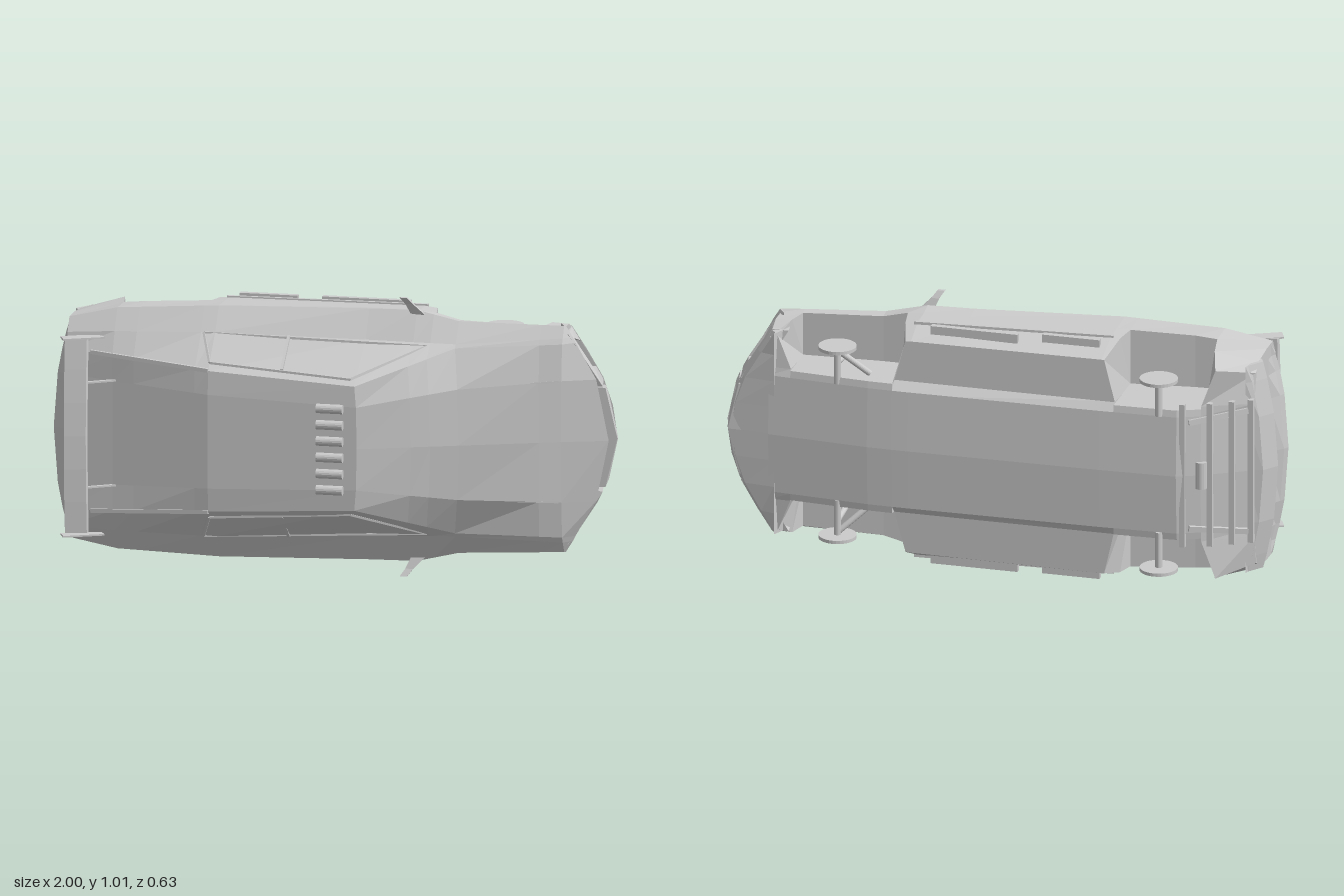
import * as THREE from 'three';

const mat = new THREE.MeshStandardMaterial({ color: 0xcccccc, side: THREE.DoubleSide, flatShading: true });
const V = (p) => new THREE.Vector3(...p);
const V2 = (p) => new THREE.Vector2(...p);

// Linear interpolation through rows whose first entry is the key
function sample(rows, t) {
  let i = 0;
  while (i < rows.length - 2 && t > rows[i + 1][0]) i++;
  const a = rows[i], b = rows[i + 1];
  const f = THREE.MathUtils.clamp((t - a[0]) / (b[0] - a[0]), 0, 1);
  return a.slice(1).map((v, k) => v + (b[k + 1] - v) * f);
}

// Flat-faced skin over closed rings of points, with capped ends
function loft(rings) {
  const pos = [];
  const tri = (a, b, c) => pos.push(...a, ...b, ...c);
  const n = rings[0].length;
  for (let i = 0; i < rings.length - 1; i++) {
    for (let j = 0; j < n; j++) {
      const k = (j + 1) % n;
      const a = rings[i][j], b = rings[i + 1][j], c = rings[i + 1][k], d = rings[i][k];
      tri(a, b, c);
      tri(a, c, d);
    }
  }
  for (const [r, flip] of [[rings[0], false], [rings[rings.length - 1], true]]) {
    const c = [0, 1, 2].map((k) => r.reduce((s, p) => s + p[k], 0) / n);
    r.forEach((p, j) => {
      const q = r[(j + 1) % n];
      flip ? tri(c, q, p) : tri(c, p, q);
    });
  }
  const g = new THREE.BufferGeometry();
  g.setAttribute('position', new THREE.Float32BufferAttribute(pos, 3));
  g.computeVertexNormals();
  return g;
}

// The car lies with its length on x, its width on y and its roof toward +z
export function createModel() {
  const model = new THREE.Group();
  const car = new THREE.Group();
  car.name = 'car';
  car.position.y = 0.51;
  model.add(car);
  const add = (name, geo) => {
    const m = new THREE.Mesh(geo, mat);
    m.name = name;
    car.add(m);
    return m;
  };
  const box = (name, size, at) => add(name, new THREE.BoxGeometry(...size)).position.set(...at);
  const beam = (name, a, b, w, h = w) => {
    const m = add(name, new THREE.BoxGeometry(w, h, V(a).distanceTo(V(b))));
    m.position.copy(V(a).add(V(b)).multiplyScalar(0.5));
    m.quaternion.setFromRotationMatrix(new THREE.Matrix4().lookAt(V(b), V(a), V([0, 0, 1])));
  };
  const rod = (name, a, b, r) => {
    const m = add(name, new THREE.CylinderGeometry(r, r, V(a).distanceTo(V(b)), 16));
    m.position.copy(V(a).add(V(b)).multiplyScalar(0.5));
    m.quaternion.setFromUnitVectors(V([0, 1, 0]), V(b).sub(V(a)).normalize());
  };

  // Upper body: x, centre height, then width and height of crease, roof edge, belt, shoulder
  const upper = [
    [-0.93, 0.158, 0.20, 0.158, 0.29, 0.160, 0.35, 0.15, 0.40, 0.12],
    [-0.80, 0.175, 0.19, 0.175, 0.285, 0.18, 0.36, 0.15, 0.435, 0.105],
    [-0.40, 0.25, 0.17, 0.25, 0.255, 0.243, 0.37, 0.13, 0.455, 0.07],
    [0.13, 0.25, 0.15, 0.25, 0.225, 0.245, 0.355, 0.06, 0.455, 0.0],
    [0.30, 0.178, 0.177, 0.173, 0.283, 0.139, 0.351, 0.047, 0.455, -0.012],
    [0.45, 0.115, 0.20, 0.105, 0.335, 0.045, 0.348, 0.035, 0.42, -0.02],
    [0.82, -0.02, 0.22, -0.022, 0.35, -0.035, 0.37, -0.045, 0.41, -0.07],
  ];
  // Lower body: x, width and height of arch top, side crease, sill, floor edge, then keel height
  const lower = [
    [-0.93, 0.40, 0.04, 0.39, -0.06, 0.36, -0.10, 0.25, -0.12, -0.125],
    [-0.80, 0.43, 0.0, 0.425, -0.10, 0.39, -0.19, 0.26, -0.20, -0.205],
    [-0.68, 0.44, -0.005, 0.435, -0.12, 0.40, -0.235, 0.25, -0.237, -0.26],
    [-0.40, 0.45, -0.04, 0.445, -0.11, 0.405, -0.235, 0.25, -0.238, -0.27],
    [0.33, 0.445, -0.06, 0.44, -0.15, 0.40, -0.235, 0.25, -0.238, -0.28],
    [0.45, 0.415, -0.06, 0.415, -0.15, 0.39, -0.235, 0.25, -0.238, -0.278],
    [0.82, 0.40, -0.08, 0.40, -0.15, 0.36, -0.225, 0.25, -0.235, -0.25],
  ];
  // Forward bow of the windscreen and bonnet line at the centre
  const bows = [[-0.4, 0], [0.13, 0.01], [0.45, 0.03], [0.82, 0]];
  // Stations: x, inside a wheel arch, slant of the arch end
  const stations = [
    [-0.93, 0, 0], [-0.76, 0, -0.05], [-0.76, 1, 0], [-0.68, 1, 0], [-0.45, 1, 0], [-0.45, 0, 0.04],
    [-0.4, 0, 0], [0.13, 0, 0], [0.3, 0, 0], [0.36, 0, -0.04], [0.36, 1, 0], [0.45, 1, 0],
    [0.74, 1, 0], [0.74, 0, 0.05], [0.82, 0, 0],
  ];
  add('body', loft(stations.map(([x, arch, slant]) => {
    const u = sample(upper, x), l = sample(lower, x);
    const [bow] = sample(bows, x);
    const keel = Math.max(l[8] + 0.01, l[8] * 0.97);
    const half = [[x + bow, 0, u[0]], [x + bow * 0.7, u[1], u[2]], [x, u[3], u[4]], [x, u[5], u[6]],
      [x, u[7], u[8]], [x, l[0], l[1]]];
    if (arch) half.push([x, 0.245, l[1]], [x, 0.245, -0.14], [x, 0.245, keel + 0.004]);
    else half.push([x + slant * 0.4, l[2], l[3]], [x + slant, l[4], l[5]], [x, l[6], l[7]]);
    half.push([x, 0.22, keel], [x, 0, l[8]]);
    return [...half, ...half.slice(1, -1).reverse().map(([a, b, c]) => [a, -b, c])];
  })));

  // Nose and tail pieces: profiles in x and z swept across the width
  const across = (name, ws, profile) =>
    add(name, loft([...ws.slice(1).reverse().map((w) => -w), ...ws].map((w) =>
      profile(Math.abs(w)).map(([x, z]) => [x, w, z]))));
  const lipX = [[0, 0.98], [0.22, 0.935], [0.35, 0.86], [0.37, 0.85], [0.41, 0.825]];
  const chinX = [[0, 1], [0.1, 0.985], [0.2, 0.95], [0.3, 0.89], [0.39, 0.83]];
  const tailX = [[0, -1], [0.2, -0.985], [0.33, -0.96], [0.39, -0.945]];
  const noseTop = [[0, -0.02], [0.22, -0.022], [0.35, -0.035], [0.37, -0.045], [0.41, -0.07]];
  const tailTop = [[0, 0.158], [0.29, 0.16], [0.35, 0.15], [0.4, 0.12]];
  across('bonnetLip', [0, 0.22, 0.35, 0.37, 0.41], (w) => {
    const [x] = sample(lipX, w);
    return [[0.82, sample(noseTop, w)[0]], [x, -0.075], [x - 0.01, -0.09], [0.8, -0.11]];
  });
  across('noseCentre', [0, 0.1, 0.18], (w) => {
    const [x] = sample(chinX, w);
    return [[0.8, -0.12], [x - 0.03, -0.13], [x - 0.05, -0.225], [0.8, -0.225]];
  });
  across('chin', [0, 0.1, 0.2, 0.3, 0.38], (w) => {
    const [x] = sample(chinX, w);
    return [[0.78, -0.2], [x - 0.02, -0.21], [x - 0.04, -0.232], [0.8, -0.245]];
  });
  across('tailLip', [0, 0.2, 0.29, 0.35, 0.4], (w) => {
    const [x] = sample(tailX, w);
    const [z] = sample(tailTop, w);
    return [[-0.93, z], [x + 0.015, z - 0.03], [x + 0.025, z - 0.05], [-0.93, 0.06]];
  });
  across('rearBumper', [0, 0.2, 0.33, 0.39], (w) => {
    const [x] = sample(tailX, w);
    return [[-0.92, -0.01], [x, -0.06], [x + 0.04, -0.115], [-0.9, -0.13]];
  });

  // Frames in the y-z plane, bent and raked back to follow the nose
  const frame = (name, outer, hole, depth) => {
    const shape = new THREE.Shape(outer.map(V2));
    shape.holes.push(new THREE.Path(hole.map(V2)));
    const g = new THREE.ExtrudeGeometry(shape, { depth, bevelEnabled: false });
    const p = g.attributes.position;
    for (let i = 0; i < p.count; i++) {
      const w = p.getX(i), z = p.getY(i);
      const rake = Math.max(0, -0.14 - z) * 0.3;
      p.setXYZ(i, sample(chinX, Math.abs(w))[0] - depth + p.getZ(i) - rake, w, z);
    }
    g.computeVertexNormals();
    add(name, g);
  };
  frame('grilleFrame', [[-0.18, -0.125], [0, -0.125], [0.18, -0.125], [0.17, -0.225], [0, -0.235], [-0.17, -0.225]],
    [[-0.15, -0.14], [-0.14, -0.215], [0, -0.22], [0.14, -0.215], [0.15, -0.14], [0, -0.14]], 0.05);

  const plateShape = new THREE.Shape(
    [[-0.93, 0.265], [-0.91, 0.31], [-0.775, 0.245], [-0.79, 0.22], [-0.85, 0.225]].map(V2));

  for (const s of [1, -1]) {
    frame('headlightFrame', [[0.19, -0.1], [0.38, -0.065], [0.38, -0.2], [0.19, -0.22]].map(([a, b]) => [a * s, b]),
      [[0.235, -0.115], [0.245, -0.18], [0.335, -0.18], [0.36, -0.1]].map(([a, b]) => [a * s, b]), 0.06);
    box('fogLight', [0.03, 0.01, 0.035], [0.95, 0.11 * s, -0.16]);

    // Window surrounds, door pillar, rear buttress and bonnet crease
    const corners = [[-0.44, 0.368, 0.132], [-0.4, 0.28, 0.22], [0.11, 0.245, 0.222], [0.35, 0.34, 0.05]];
    corners.forEach((a, i) => {
      const b = corners[(i + 1) % 4];
      beam('windowFrame', [a[0], a[1] * s, a[2]], [b[0], b[1] * s, b[2]], 0.008);
    });
    beam('doorPillar', [-0.14, 0.363 * s, 0.097], [-0.14, 0.265 * s, 0.216], 0.01);
    beam('buttress', [-0.4, 0.256 * s, 0.24], [-0.84, 0.288 * s, 0.174], 0.014);
    beam('bonnetCrease', [0.47, 0.2 * s, 0.097], [0.81, 0.219 * s, -0.02], 0.006);

    // Side strips and body-side crease
    box('sideStrip', [0.21, 0.035, 0.022], [-0.27, 0.435 * s, -0.162]);
    box('sideStrip', [0.32, 0.035, 0.022], [0.08, 0.432 * s, -0.182]);
    beam('sideCrease', [-0.41, 0.445 * s, -0.108], [0.31, 0.44 * s, -0.152], 0.012);

    // Door mirror
    add('mirror', loft([[0.245, 0.272, 0.505, 0.02], [0.262, 0.29, 0.48, 0.004], [0.28, 0.33, 0.44, -0.01]].map(
      ([x0, x1, w, z]) => [[x0, w * s, z + 0.006], [x1, w * s, z + 0.006], [x1, w * s, z - 0.006], [x0, w * s, z - 0.006]])));

    // Wheel discs, stub axles and front suspension
    for (const x of [-0.615, 0.565]) {
      add('wheel', new THREE.CylinderGeometry(0.068, 0.068, 0.012, 32)).position.set(x, 0.358 * s, -0.25);
      rod('axle', [x, 0.22 * s, -0.25], [x, 0.36 * s, -0.25], 0.013);
    }
    rod('strut', [0.565, 0.3 * s, -0.25], [0.565, 0.28 * s, -0.06], 0.011);
    rod('steeringArm', [0.46, 0.25 * s, -0.2], [0.56, 0.34 * s, -0.245], 0.011);

    // Spoiler end plate and stay
    const plate = new THREE.ExtrudeGeometry(plateShape, { depth: 0.006, bevelEnabled: false });
    add('spoilerEndPlate', plate.rotateX(Math.PI / 2)).position.y = 0.357 * s + 0.003;
    beam('spoilerStay', [-0.75, 0.19 * s, 0.18], [-0.86, 0.19 * s, 0.25], 0.006, 0.014);

    // Rails under the tail
    beam('tailRail', [-0.72, 0.2 * s, -0.235], [-0.92, 0.23 * s, -0.125], 0.02);
  }

  // Spoiler blade, slightly bowed
  across('spoilerBlade', [0, 0.12, 0.24, 0.357], (w) => {
    const z = 0.27 - 0.14 * w * w;
    return [[-0.915, z + 0.008], [-0.84, z - 0.012], [-0.835, z - 0.02], [-0.91, z - 0.006]];
  });
  // Roof lamps
  for (let i = 0; i < 6; i++) {
    const w = -0.1475 + i * 0.059;
    rod('roofLamp', [0, w, 0.277], [0.095, w, 0.277], 0.017);
    box('lampFoot', [0.03, 0.012, 0.02], [0.05, w, 0.255]);
  }
  // Cross members and exhaust under the tail
  for (const [x, z] of [[-0.7, -0.24], [-0.79, -0.205], [-0.86, -0.165], [-0.92, -0.13]]) {
    beam('tailCrossMember', [x, -0.27, z], [x, 0.27, z], 0.02);
  }
  rod('exhaust', [-0.76, -0.05, -0.215], [-0.76, 0.05, -0.215], 0.022);
  return model;
}
